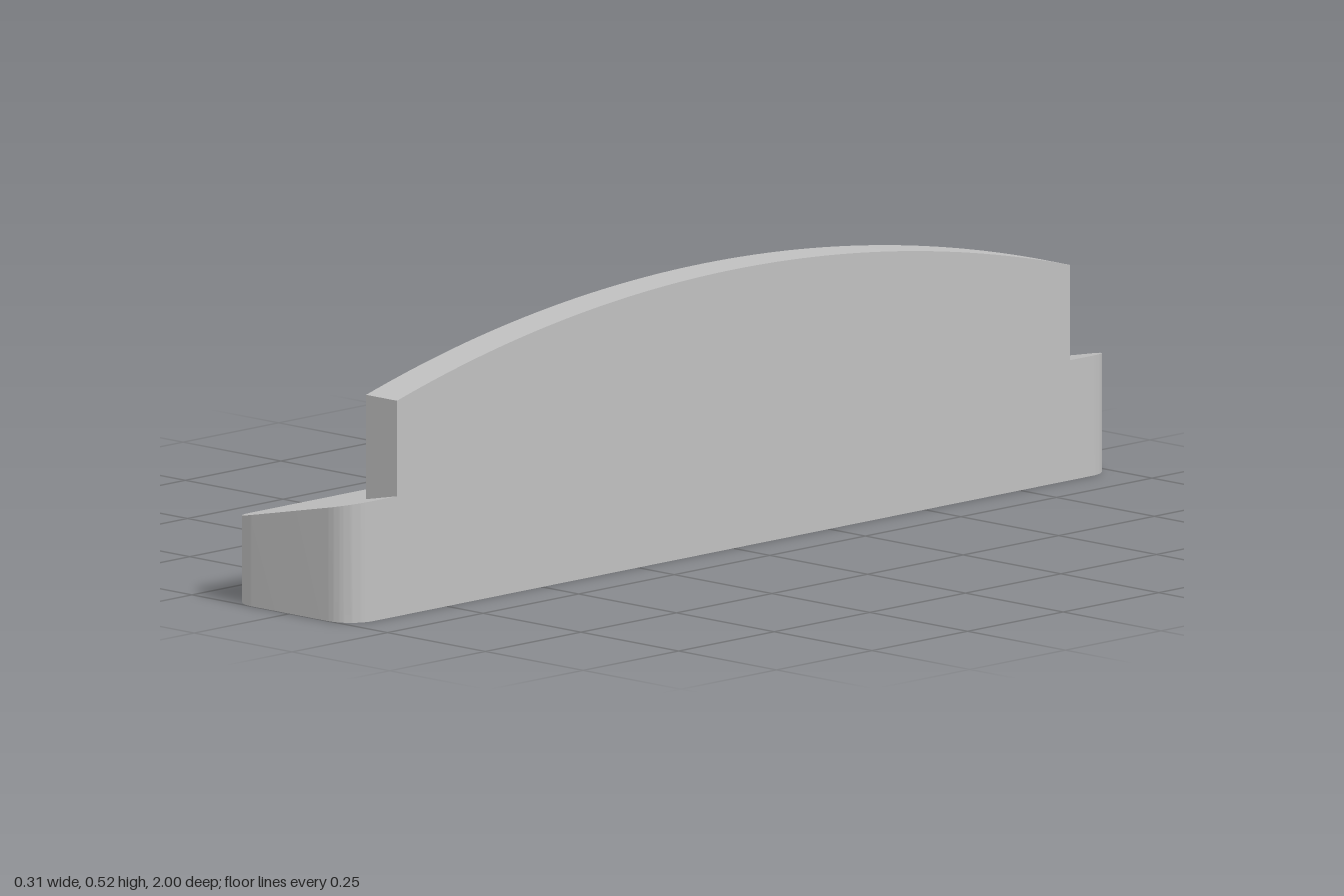
import * as THREE from 'three';
import { toCreasedNormals } from 'three/addons/utils/BufferGeometryUtils.js';

const HALF_W = 0.157, HALF_L = 1, CORNER = 0.06;
const PLATE_X = 0.078, PLATE_HALF = 0.88, PLATE_END = 0.402, PLATE_TOP = 0.52;

// Height of the sloping top of the base at a given x
const slopeAt = (x) => 0.191 + 0.21 * x;

// Move the vertices picked by a test onto the slope
function fitToSlope(geometry, test) {
  const p = geometry.attributes.position;
  for (let i = 0; i < p.count; i++) {
    if (test(p.getY(i))) p.setY(i, slopeAt(p.getX(i)));
  }
  return toCreasedNormals(geometry, Math.PI / 6);
}

// Rounded bar with a slanted top
function baseGeometry() {
  const w = HALF_W - CORNER, l = HALF_L - CORNER;
  const s = new THREE.Shape();
  s.absarc(w, l, CORNER, 0, Math.PI / 2);
  s.absarc(-w, l, CORNER, Math.PI / 2, Math.PI);
  s.absarc(-w, -l, CORNER, Math.PI, Math.PI * 1.5);
  s.absarc(w, -l, CORNER, Math.PI * 1.5, Math.PI * 2);
  const g = new THREE.ExtrudeGeometry(s, { depth: 1, bevelEnabled: false, curveSegments: 12 });
  g.rotateX(-Math.PI / 2);
  return fitToSlope(g, (y) => y > 0.5);
}

// Upright plate with an arched top, standing on the slope
function plateGeometry() {
  const rise = PLATE_TOP - PLATE_END;
  const r = (PLATE_HALF ** 2 + rise ** 2) / (2 * rise);
  const a = Math.asin(PLATE_HALF / r);
  const s = new THREE.Shape();
  s.moveTo(-PLATE_HALF, 0);
  s.lineTo(PLATE_HALF, 0);
  s.absarc(0, PLATE_TOP - r, r, Math.PI / 2 - a, Math.PI / 2 + a);
  const g = new THREE.ExtrudeGeometry(s, {
    depth: HALF_W - PLATE_X, bevelEnabled: false, curveSegments: 40,
  });
  g.rotateY(Math.PI / 2).translate(PLATE_X, 0, 0);
  return fitToSlope(g, (y) => y < 0.1);
}

export function createModel() {
  const grey = new THREE.MeshStandardMaterial({ color: 0xc0c0c0 });
  grey.name = 'grey';

  const group = new THREE.Group();
  group.name = 'archedBackRail';
  for (const [name, geometry] of [['base', baseGeometry()], ['backPlate', plateGeometry()]]) {
    const mesh = new THREE.Mesh(geometry, grey);
    mesh.name = name;
    group.add(mesh);
  }
  return group;
}
